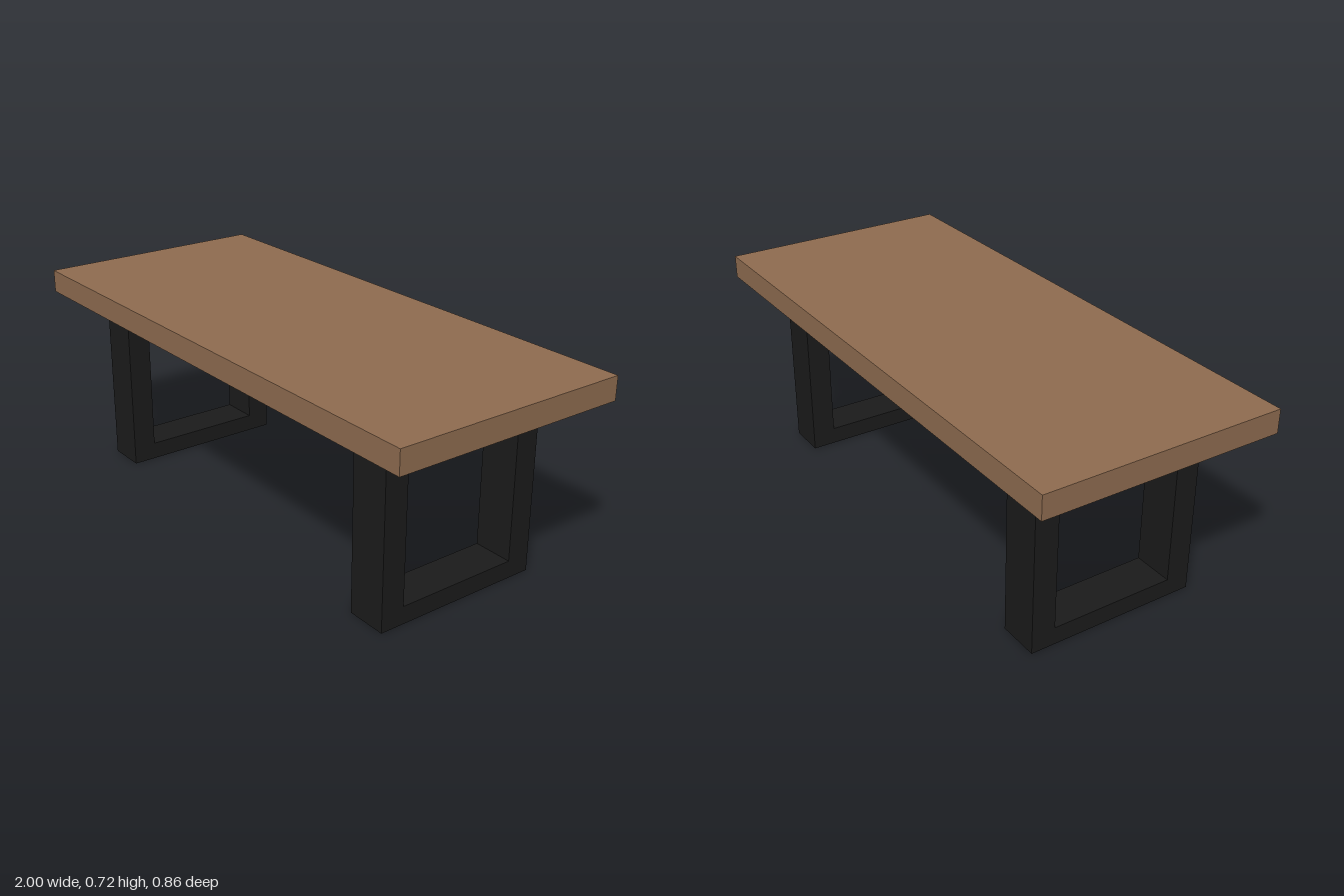
import * as THREE from 'three';

const TOP_Y = 0.72, TOP_THICK = 0.083, TOP_DEPTH = 0.864;
const LEG_X = 0.736, LEG_WIDTH = 0.146;
const UNDER = TOP_Y - TOP_THICK;

// U-shaped leg frame, extruded along x and centred on x = 0
function legFrameGeometry() {
  const outer = 0.311, inner = 0.225, bar = 0.063;
  const profile = new THREE.Shape([
    [-outer, 0], [outer, 0], [outer, UNDER], [inner, UNDER],
    [inner, bar], [-inner, bar], [-inner, UNDER], [-outer, UNDER],
  ].map(([z, y]) => new THREE.Vector2(z, y)));
  const geometry = new THREE.ExtrudeGeometry(profile, { depth: LEG_WIDTH, bevelEnabled: false });
  return geometry.translate(0, 0, -LEG_WIDTH / 2).rotateY(Math.PI / 2);
}

export function createModel() {
  const table = new THREE.Group();
  table.name = 'table';
  const wood = new THREE.MeshStandardMaterial({ color: 0x8f6c50 });
  const black = new THREE.MeshStandardMaterial({ color: 0x1b1b1b });

  // Slab top
  const top = new THREE.Mesh(new THREE.BoxGeometry(2, TOP_THICK, TOP_DEPTH), wood);
  top.name = 'tableTop';
  top.position.y = TOP_Y - TOP_THICK / 2;
  table.add(top);

  // One leg frame near each end
  const frame = legFrameGeometry();
  for (const [name, side] of [['leftLegFrame', 1], ['rightLegFrame', -1]]) {
    const leg = new THREE.Mesh(frame, black);
    leg.name = name;
    leg.position.x = side * LEG_X;
    table.add(leg);
  }
  return table;
}
